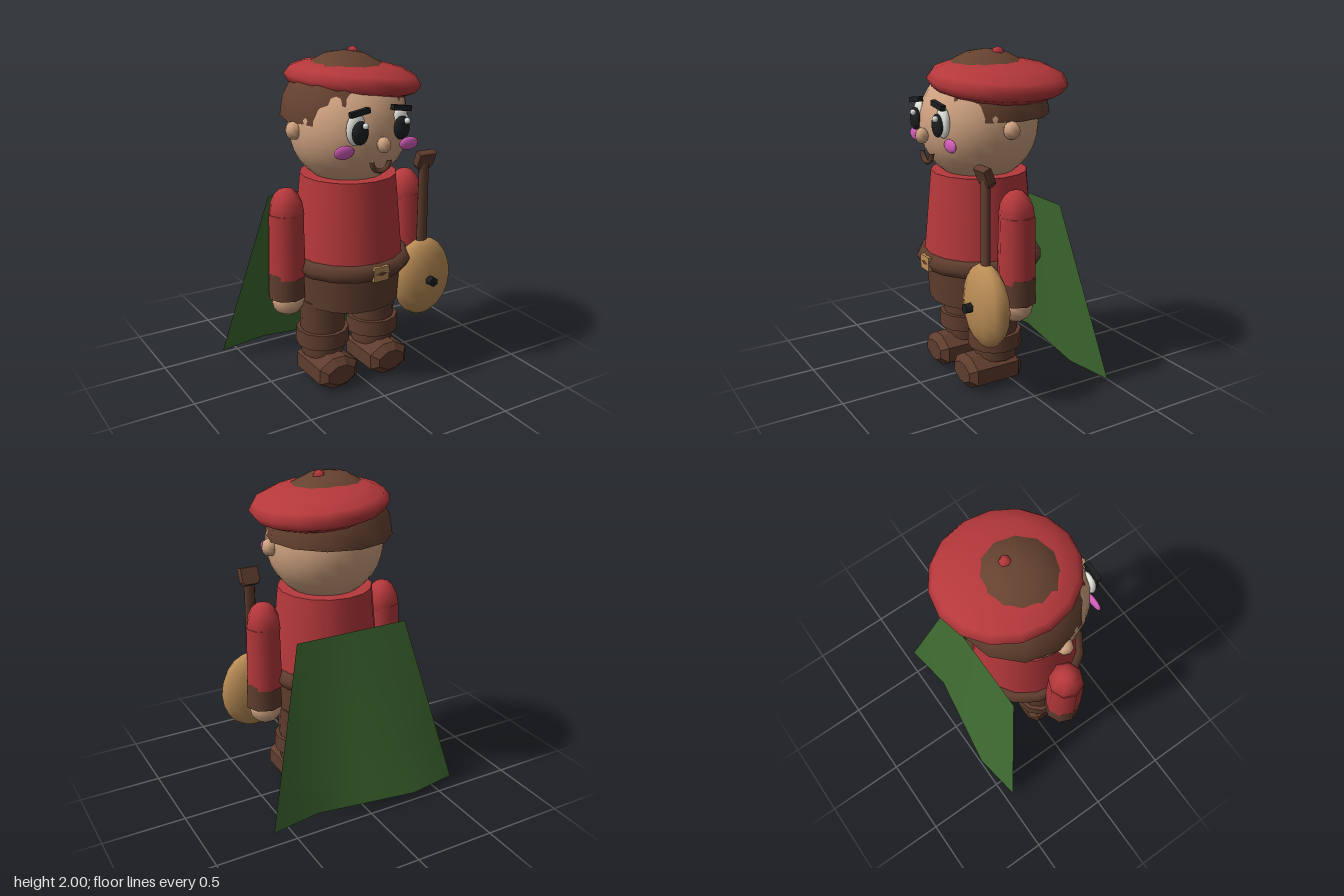
import * as THREE from 'three';

const paint = (name, color, side = THREE.FrontSide) => {
  const m = new THREE.MeshStandardMaterial({ color, side });
  m.name = name;
  return m;
};

export function createModel() {
  const red = paint('red cloth', 0xb5383b);
  const brown = paint('brown leather', 0x5f3d2e);
  const hairBrown = paint('brown hair', 0x664230, THREE.DoubleSide);
  const skin = paint('skin', 0xcfa280);
  const wood = paint('light wood', 0xb98c55);
  const green = paint('green cape', 0x3f6b31, THREE.DoubleSide);
  const black = paint('black', 0x1c1e20);
  const white = paint('white', 0xe4e4de);
  const pink = paint('pink', 0xd15cb8);

  const model = new THREE.Group();
  model.name = 'minstrel';
  const Z = 0.08; // body axis

  const add = (name, geometry, material, x, y, z, rx = 0, ry = 0, rz = 0) => {
    const mesh = new THREE.Mesh(geometry, material);
    mesh.name = name;
    mesh.position.set(x, y, z);
    mesh.rotation.set(rx, ry, rz);
    model.add(mesh);
    return mesh;
  };
  const ball = (rx, ry, rz, w = 12, h = 8) => new THREE.SphereGeometry(1, w, h).scale(rx, ry, rz);
  const tube = (top, bottom, height, sides) => new THREE.CylinderGeometry(top, bottom, height, sides);
  const flat = (m) => { // faceted copy of a geometry
    m.geometry = m.geometry.index ? m.geometry.toNonIndexed() : m.geometry;
    m.geometry.computeVertexNormals();
    return m;
  };

  // Trunk
  add('tunic', tube(0.285, 0.335, 0.55, 16), red, 0, 1.015, Z);
  add('hips', tube(0.32, 0.305, 0.24, 16), brown, 0, 0.63, Z);
  add('belt', new THREE.TorusGeometry(0.325, 0.055, 6, 16), brown, 0, 0.767, Z, Math.PI / 2);
  add('buckle', new THREE.BoxGeometry(0.1, 0.085, 0.04), wood, 0, 0.765, 0.432);

  // Chamfered shoe: octagonal section run from heel to toe
  const sole = new THREE.Shape([
    [-0.03, -0.06], [0.03, -0.06], [0.09, -0.025], [0.09, 0.025],
    [0.03, 0.06], [-0.03, 0.06], [-0.09, 0.025], [-0.09, -0.025],
  ].map(([x, y]) => new THREE.Vector2(x, y)));
  const shoe = new THREE.ExtrudeGeometry(sole, {
    depth: 0.28, bevelEnabled: true, bevelThickness: 0.04, bevelSize: 0.04, bevelSegments: 1,
  });

  // Limbs
  for (const s of [-1, 1]) {
    const side = s > 0 ? 'left' : 'right';
    add(side + 'Leg', tube(0.14, 0.13, 0.36, 12), brown, s * 0.18, 0.35, Z);
    add(side + 'BootCuff', tube(0.16, 0.163, 0.095, 12), brown, s * 0.18, 0.288, Z);
    add(side + 'Shoe', shoe, brown, s * 0.18, 0.1, -0.01);

    add(side + 'Shoulder', ball(0.105, 0.15, 0.105, 8, 8), red, s * 0.41, 1.1, Z);
    add(side + 'Sleeve', tube(0.105, 0.113, 0.38, 8), red, s * 0.415, 0.91, Z);
    add(side + 'Cuff', tube(0.108, 0.113, 0.155, 8), brown, s * 0.42, 0.668, Z);
    add(side + 'Hand', ball(0.1, 0.1, 0.1, 10, 8), skin, s * 0.415, 0.57, Z);
  }

  // Head and face
  add('head', ball(0.35, 0.35, 0.35, 24, 16), skin, 0, 1.57, Z);
  add('nose', ball(0.04, 0.046, 0.04, 8, 6), skin, 0, 1.52, 0.45);
  for (const s of [-1, 1]) {
    const side = s > 0 ? 'left' : 'right';
    add(side + 'Ear', ball(0.05, 0.052, 0.05, 8, 6), skin, s * 0.355, 1.57, Z);
    add(side + 'Eye', ball(0.062, 0.09, 0.03), white, s * 0.142, 1.61, 0.39);
    add(side + 'Pupil', ball(0.052, 0.066, 0.025), black, s * 0.135, 1.595, 0.422);
    add(side + 'EyeGlint', ball(0.018, 0.018, 0.018, 8, 6), white, s * 0.135 + 0.02, 1.635, 0.445);
    add(side + 'Eyebrow', new THREE.BoxGeometry(0.122, 0.03, 0.03), black,
      s * 0.135, 1.705, 0.415, 0, 0, -s * 0.15);
    add(side + 'Cheek', ball(0.065, 0.038, 0.017), pink, s * 0.213, 1.49, 0.385);
  }
  add('mouth', new THREE.TorusGeometry(0.058, 0.015, 6, 10, Math.PI), brown, 0, 1.425, 0.42, 0, 0, Math.PI);

  // Hair cap and tilted beret
  add('hair', new THREE.SphereGeometry(0.37, 12, 5, 0, Math.PI * 2, 0, Math.PI / 2), hairBrown, 0, 1.615, 0.03);
  add('beret', ball(0.4, 0.12, 0.41, 16, 8), red, 0.078, 1.815, 0, 0, 0, -0.1);
  add('beretStalk', ball(0.038, 0.038, 0.038, 6, 4), red, 0.078, 1.962, 0);

  // Lute
  add('luteBody', ball(0.205, 0.248, 0.098, 12, 10), wood, 0.412, 0.605, 0.278);
  add('luteNeck', tube(0.034, 0.038, 0.56, 8).scale(1, 1, 0.65), brown, 0.405, 1.06, 0.277);
  add('luteSoundHole', tube(0.03, 0.03, 0.08, 6), black, 0.405, 0.61, 0.376, Math.PI / 2);
  const headstock = new THREE.Shape([
    [-0.04, -0.05], [0.04, -0.05], [0.055, -0.03], [0.055, 0.05], [-0.055, 0.05], [-0.055, -0.03],
  ].map(([x, y]) => new THREE.Vector2(x, y)));
  flat(add('luteHeadstock', new THREE.ExtrudeGeometry(headstock, {
    depth: 0.03, bevelEnabled: true, bevelThickness: 0.01, bevelSize: 0.005, bevelSegments: 1,
  }), brown, 0.405, 1.352, 0.265, 0.4));

  // Flared cape with a wavy hem
  const cape = new THREE.PlaneGeometry(2, 1, 4, 4);
  const p = cape.attributes.position;
  for (let i = 0; i < p.count; i++) {
    const u = p.getX(i), drop = 0.5 - p.getY(i);
    const wave = 0.048 * Math.sin(u * Math.PI) * drop;
    p.setXYZ(i, u * (0.36 + 0.262 * drop), 1.1 - 1.055 * drop, -0.255 - 0.192 * drop + wave);
  }
  cape.computeVertexNormals();
  add('cape', cape, green, 0, 0, 0);

  return model;
}
